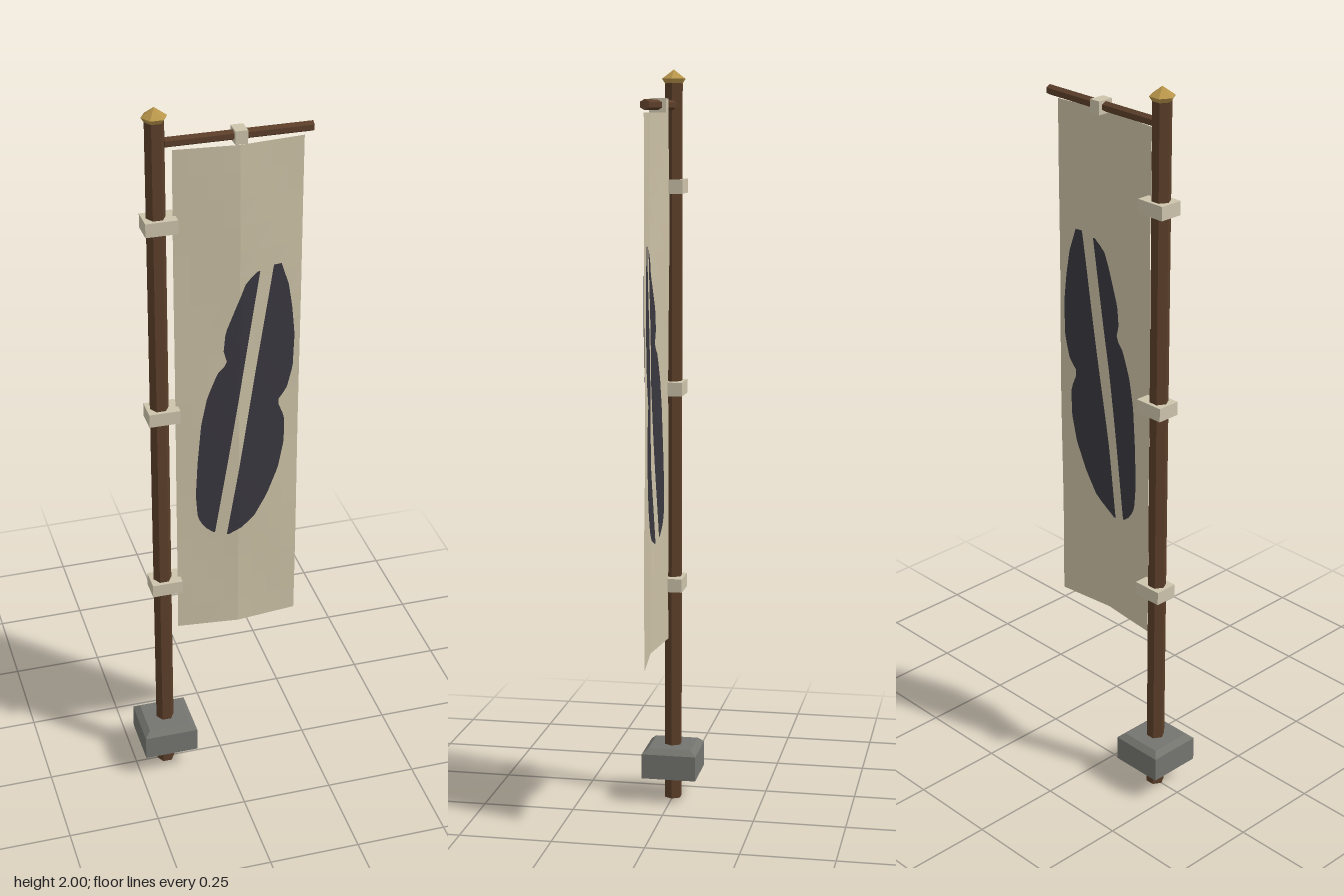
import * as THREE from 'three';

function material(name, color, side = THREE.FrontSide) {
  const m = new THREE.MeshStandardMaterial({ color, side, flatShading: true });
  m.name = name;
  return m;
}

// Depth of the hanging cloth: a soft ridge down the middle plus slight ripples
function clothZ(x, y) {
  const u = Math.min(1, Math.abs(x - 0.045) / 0.167);
  return 0.006 + 0.018 * (1 - u) + 0.002 * Math.sin(y * 7) * Math.sin(x * 14 + y * 2);
}

// Sheet spanning left(y)..right(y), draped over the cloth
function drapedSheet(y0, y1, left, right, cols, rows, offset) {
  const geo = new THREE.PlaneGeometry(1, 1, cols, rows);
  const p = geo.attributes.position;
  for (let i = 0; i < p.count; i++) {
    const y = y0 + (y1 - y0) * (p.getY(i) + 0.5);
    const a = left(y), b = right(y);
    const x = a + (b - a) * (p.getX(i) + 0.5);
    p.setXYZ(i, x, y, clothZ(x, y) + offset);
  }
  geo.computeVertexNormals();
  return geo;
}

// Piecewise linear edge through [y, x] points, listed from top to bottom
function edge(points) {
  return (y) => {
    for (let i = 1; i < points.length; i++) {
      const [ya, xa] = points[i - 1], [yb, xb] = points[i];
      if (y >= yb) return xa + (xb - xa) * Math.max(0, (ya - y) / (ya - yb));
    }
    return points[points.length - 1][1];
  };
}

export function createModel() {
  const group = new THREE.Group();
  const wood = material('dark wood', 0x5b3e29);
  const stone = material('grey stone', 0x74746f);
  const brass = material('brass', 0xb8954a);
  const strap = material('pale strap', 0xcdc3ab);
  const cloth = material('cream cloth', 0xcbc0a5, THREE.DoubleSide);
  const ink = material('dark ink', 0x39373f, THREE.DoubleSide);
  const poleX = -0.163;

  const add = (name, geo, mat, x = 0, y = 0, z = 0) => {
    const mesh = new THREE.Mesh(geo, mat);
    mesh.name = name;
    mesh.position.set(x, y, z);
    group.add(mesh);
    return mesh;
  };
  const hexPrism = (top, bottom, h) =>
    new THREE.CylinderGeometry(top, bottom, h, 6).rotateY(Math.PI / 6);

  // Pole and crossbar
  add('pole', hexPrism(0.025, 0.025, 1.968), wood, poleX, 0.984);
  add('crossbar', hexPrism(0.0135, 0.0135, 0.375).rotateZ(Math.PI / 2), wood, 0.0475, 1.907);

  // Pointed cap
  add('finialCollar', hexPrism(0.033, 0.025, 0.012), brass, poleX, 1.97);
  add('finialPoint', hexPrism(0, 0.033, 0.024), brass, poleX, 1.988);

  // Stone block with a bevelled top
  add('baseBlock', new THREE.BoxGeometry(0.15, 0.069, 0.15), stone, poleX, 0.1055);
  const bevel = new THREE.CylinderGeometry(0.059 * Math.SQRT2, 0.075 * Math.SQRT2, 0.014, 4).rotateY(Math.PI / 4);
  add('baseBevel', bevel, stone, poleX, 0.147);

  // Straps around the pole and the crossbar loop
  for (const y of [0.615, 1.155, 1.695]) {
    add('poleStrap', new THREE.BoxGeometry(0.083, 0.037, 0.064), strap, -0.156, y);
  }
  add('crossbarLoop', new THREE.BoxGeometry(0.032, 0.035, 0.044), strap, 0.048, 1.906);

  // Hanging banner
  add('banner', drapedSheet(0.465, 1.888, () => -0.122, () => 0.212, 8, 20, 0), cloth);

  // Painted mark: two notched halves either side of a slanted slit, on both faces
  const leftOuter = edge([[1.542, 0.092], [1.516, 0.061], [1.447, 0.034], [1.378, 0.008],
    [1.325, 0.003], [1.288, 0.013], [1.262, -0.013], [1.193, -0.04], [1.114, -0.056],
    [0.997, -0.066], [0.892, -0.071], [0.823, -0.066], [0.791, -0.05], [0.77, -0.024]]);
  const leftInner = edge([[1.542, 0.098], [0.77, -0.019]]);
  const rightInner = edge([[1.553, 0.135], [0.759, 0.013]]);
  const rightOuter = edge([[1.553, 0.156], [1.489, 0.177], [1.421, 0.188], [1.341, 0.196],
    [1.246, 0.193], [1.183, 0.177], [1.151, 0.151], [1.098, 0.172], [1.024, 0.172],
    [0.944, 0.156], [0.865, 0.124], [0.802, 0.087], [0.77, 0.045], [0.759, 0.02]]);
  for (const [side, offset] of [['Front', 0.003], ['Back', -0.003]]) {
    add('markLeft' + side, drapedSheet(0.77, 1.542, leftOuter, leftInner, 6, 50, offset), ink);
    add('markRight' + side, drapedSheet(0.759, 1.553, rightInner, rightOuter, 6, 50, offset), ink);
  }
  return group;
}
